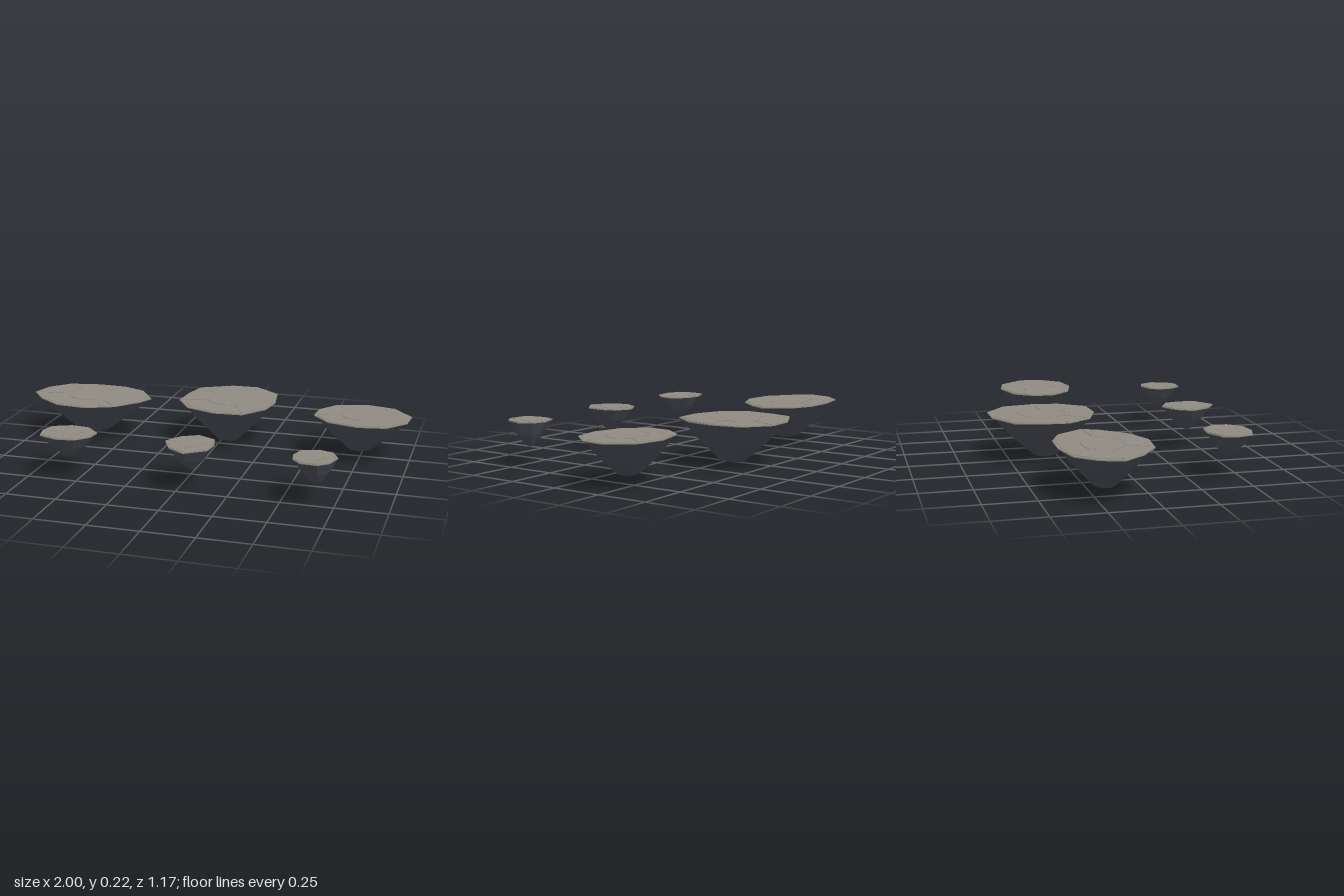
import * as THREE from 'three';

const stone = new THREE.MeshStandardMaterial({ color: 0x8f8b82 });
stone.name = 'weathered stone';
const rock = new THREE.MeshStandardMaterial({ color: 0x4a4c55 });
rock.name = 'dark slate';
stone.flatShading = rock.flatShading = true;

const TOP = 0.225;

// Outlines run clockwise seen from above, as [x, z]; tip is [x, y, z]
const islands = [
  { name: 'largeLeftIsland', tip: [-0.68, 0.025, -0.19], foot: [0.25, 0.93],
    outline: [[-1, -0.17], [-0.97, -0.28], [-0.88, -0.375], [-0.72, -0.405], [-0.57, -0.4], [-0.45, -0.35],
      [-0.36, -0.22], [-0.4, -0.14], [-0.5, -0.03], [-0.64, 0.03], [-0.8, 0.015], [-0.92, -0.07]] },
  { name: 'largeMiddleIsland', tip: [0.04, 0, -0.31], foot: [0.24, 0.92],
    outline: [[-0.21, -0.24], [-0.2, -0.38], [-0.17, -0.5], [-0.01, -0.585], [0.13, -0.59], [0.26, -0.49],
      [0.285, -0.33], [0.265, -0.2], [0.17, -0.075], [0.02, -0.065], [-0.13, -0.12]] },
  { name: 'largeRightIsland', tip: [0.75, 0.037, -0.22], foot: [0.24, 0.92],
    outline: [[0.52, -0.17], [0.53, -0.28], [0.6, -0.375], [0.76, -0.42], [0.9, -0.39], [1, -0.27],
      [0.99, -0.16], [0.9, -0.055], [0.76, -0.03], [0.61, -0.07]] },
  { name: 'smallLeftIsland', tip: [-0.55, 0.1, 0.44], foot: [0.26, 0.86],
    outline: [[-0.69, 0.44], [-0.67, 0.37], [-0.58, 0.33], [-0.49, 0.34], [-0.42, 0.41], [-0.43, 0.48],
      [-0.49, 0.54], [-0.58, 0.55], [-0.67, 0.52]] },
  { name: 'smallMiddleIsland', tip: [0.06, 0.095, 0.44], foot: [0.26, 0.86],
    outline: [[-0.07, 0.43], [-0.02, 0.35], [0.06, 0.305], [0.15, 0.35], [0.17, 0.43], [0.16, 0.51],
      [0.06, 0.58], [-0.02, 0.53]] },
  { name: 'smallRightIsland', tip: [0.66, 0.09, 0.46], foot: [0.26, 0.86],
    outline: [[0.55, 0.46], [0.57, 0.39], [0.65, 0.36], [0.72, 0.38], [0.755, 0.45], [0.73, 0.53],
      [0.68, 0.57], [0.6, 0.565], [0.56, 0.52]] },
];

const middle = (pts) => [0, 1].map((k) => pts.reduce((s, p) => s + p[k], 0) / pts.length);
const scaled = (pts, s, [cx, cz]) => pts.map(([x, z]) => [cx + (x - cx) * s, cz + (z - cz) * s]);
const ring = (pts, y) => pts.map(([x, z]) => [x, y, z]);

// Skins a stack of rings, listed from the top down, with optional end points
function loft(rings, topPoint, bottomPoint) {
  const out = [];
  const n = rings[0].length;
  for (let i = 0; i < n; i++) {
    const j = (i + 1) % n;
    if (topPoint) out.push(topPoint, rings[0][j], rings[0][i]);
    for (let r = 0; r + 1 < rings.length; r++) {
      const a = rings[r], b = rings[r + 1];
      out.push(a[i], a[j], b[j], a[i], b[j], b[i]);
    }
    const last = rings[rings.length - 1];
    if (bottomPoint) out.push(bottomPoint, last[i], last[j]);
  }
  const geo = new THREE.BufferGeometry();
  geo.setAttribute('position', new THREE.Float32BufferAttribute(out.flat(), 3));
  geo.computeVertexNormals();
  return geo;
}

// Flat prism with a capped top and bottom
function slab(pts, yTop, yBottom) {
  const [x, z] = middle(pts);
  return loft([ring(pts, yTop), ring(pts, yBottom)], [x, yTop, z], [x, yBottom, z]);
}

function addMesh(group, name, geo, mat) {
  const mesh = new THREE.Mesh(geo, mat);
  mesh.name = name;
  group.add(mesh);
}

function makeIsland({ name, outline, tip, foot }) {
  const g = new THREE.Group();
  g.name = name;
  const c = middle(outline);
  const n = outline.length;

  // Faceted underside: each ring shrinks and drifts towards the tip
  const yRim = 0.22;
  const section = (s, drop) => {
    const t = drop;
    return scaled(outline, s, c).map(([x, z]) => [
      x + (tip[0] - c[0]) * t, yRim + (tip[1] - yRim) * drop, z + (tip[2] - c[1]) * t]);
  };
  addMesh(g, 'rockUnderside',
    loft([section(0.985, 0), section(0.62, 0.49), section(...foot)], null, tip), rock);

  // Thin ground slab, whose edge stays visible as a rim
  addMesh(g, 'groundSlab', slab(outline, TOP - 0.002, TOP - 0.007), stone);

  // Cracked paving: a core stone ringed by wedge stones at uneven heights
  const outer = scaled(outline, 0.94, c);
  const inner = scaled(outline, 0.45, c);
  const paver = (pts, y) => addMesh(g, 'pavingStone',
    slab(scaled(pts, 0.985, middle(pts)), y, TOP - 0.003), stone);
  paver(inner, TOP);
  for (let i = 0, k = 0; i < n; i += 2, k++) {
    const ids = i + 2 <= n ? [i, i + 1, (i + 2) % n] : [i, 0];
    const cell = [...ids.map((q) => outer[q]), ...ids.slice().reverse().map((q) => inner[q])];
    paver(cell, TOP - 0.0006 * (k % 3));
  }
  return g;
}

export function createModel() {
  const model = new THREE.Group();
  model.name = 'floatingIslands';
  islands.forEach((island) => model.add(makeIsland(island)));
  return model;
}
